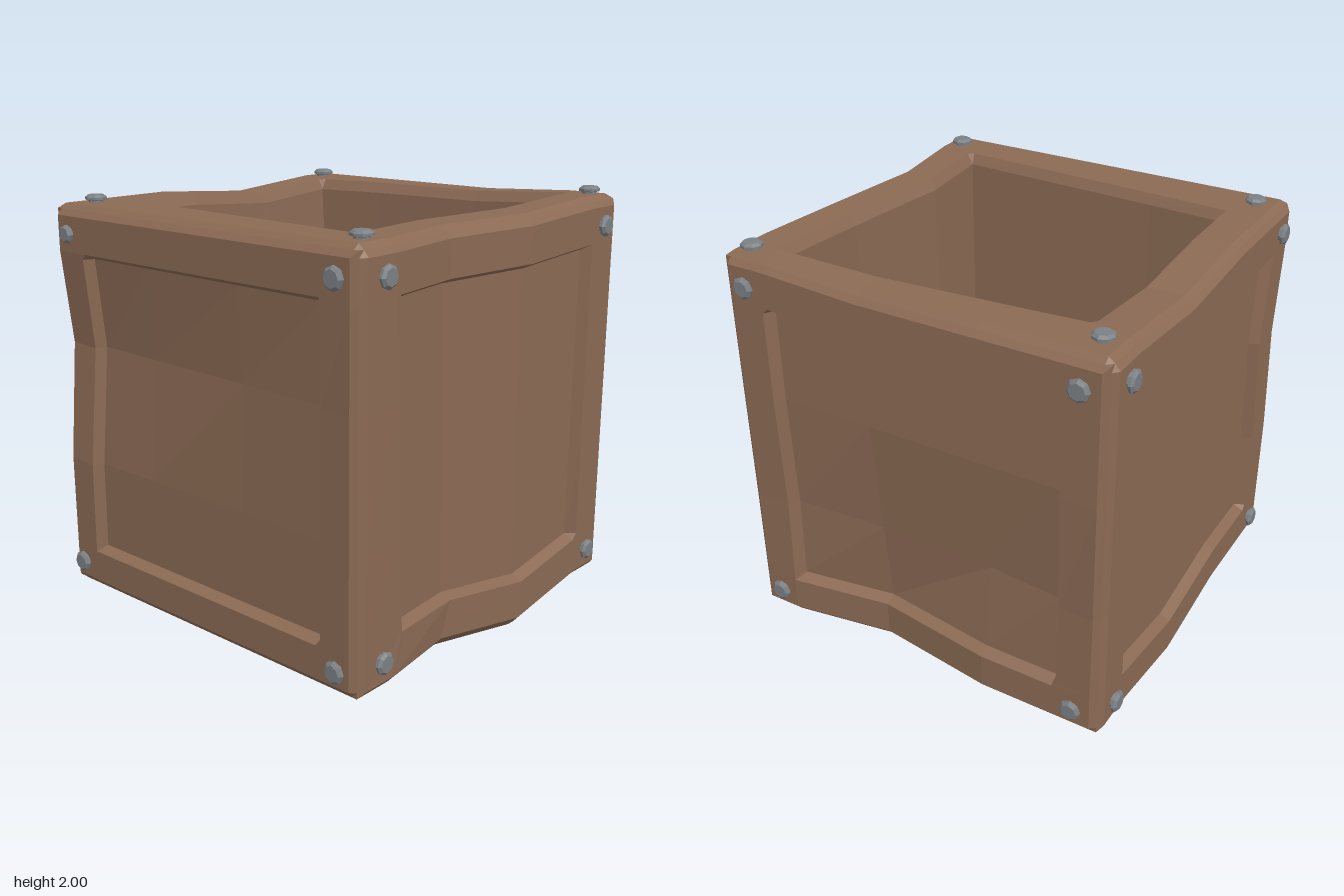
import * as THREE from 'three';

const V = (x, y, z) => new THREE.Vector3(x, y, z);
const clamp = (t) => Math.min(1, Math.max(0, t));
const ramp = (t) => clamp((t - 0.3) / 0.4);
const CENTER = 1.015, DEPTH = 0.935, THIRD = 0.28, INNER = 0.72;

// Grid lines over one side: chamfer, rail, bevel, panel thirds, and back out
const HALF = [0.912, 0.885, INNER, 0.695, THIRD];
const LINES = [...HALF.map((t) => -t), ...[...HALF].reverse()];
const RING_DEPTH = [0.912, DEPTH, DEPTH, 0.885, 0.885];

// 1 at line c, falling to 0 at the neighbouring grid lines
const tent = (t, c) => {
  const s = t * Math.sign(c), k = Math.abs(c);
  return clamp(s > k ? (INNER - s) / (INNER - k) : (s + k) / (2 * k));
};

// Hand-hewn warping of rails and panels
function warp(p) {
  const { x, y, z } = p;
  const top = ramp(y), low = ramp(-y), right = ramp(x), left = ramp(-x);
  const front = ramp(z), back = ramp(-z);
  const q = p.clone();
  q.x += -0.05 * tent(x, THIRD) - 0.06 * tent(x, -THIRD);
  q.z += 0.07 * tent(z, -THIRD) + 0.03 * tent(z, THIRD);
  q.y -= 0.075 * low * (left + right) * tent(z, -THIRD);
  q.y -= 0.04 * top * left * tent(z, -THIRD);
  q.y += 0.025 * top * right * back;
  q.x -= 0.055 * right * tent(z, THIRD);
  q.z += 0.08 * low * back * tent(x, THIRD);
  q.z -= 0.05 * front * tent(y, THIRD) * clamp(0.6 - x / 1.5);
  q.z += 0.05 * back * tent(y, -THIRD) * clamp(1.3 * (1 - Math.abs(x) / 0.93));
  q.y += CENTER;
  return q;
}

// n = outward, u = across, v = up; inner = shifts of the recess corners
// (bottom left, bottom right, top left, top right)
const SIDES = [
  { name: 'front', n: V(0, 0, 1), u: V(1, 0, 0), v: V(0, 1, 0),
    inner: [[-0.02, -0.015], [0.01, -0.015], [0, 0], [0.01, 0]],
    bolts: [[-0.83, -0.805], [0.82, -0.81], [-0.805, 0.805, 0.85], [0.82, 0.805]] },
  { name: 'right', n: V(1, 0, 0), u: V(0, 0, -1), v: V(0, 1, 0),
    inner: [[0.08, 0.01], [-0.01, 0.01], [0.01, 0], [-0.01, 0]],
    bolts: [[-0.79, -0.785], [0.79, -0.79], [-0.79, 0.805], [0.79, 0.8]] },
  { name: 'back', n: V(0, 0, -1), u: V(-1, 0, 0), v: V(0, 1, 0),
    inner: [[0, 0], [0, 0], [0, 0], [0, 0]],
    bolts: [[-0.8, -0.8], [0.8, -0.8], [-0.8, 0.8], [0.8, 0.8]] },
  { name: 'left', n: V(-1, 0, 0), u: V(0, 0, 1), v: V(0, 1, 0),
    inner: [[0, 0], [0, 0], [0, 0], [0, 0]],
    bolts: [[-0.8, -0.8], [0.79, -0.81], [-0.8, 0.81], [0.79, 0.81]] },
  { name: 'top', n: V(0, 1, 0), u: V(1, 0, 0), v: V(0, 0, -1),
    inner: [[0, 0.1], [0, 0.02], [0, -0.04], [0.02, 0.075]],
    bolts: [[-0.805, -0.775], [0.82, -0.79], [-0.81, 0.78], [0.825, 0.84]] },
  { name: 'bottom', n: V(0, -1, 0), u: V(1, 0, 0), v: V(0, 0, 1),
    inner: [[0, 0], [0, 0], [0, 0], [0, 0]], bolts: [] },
];

const place = (s, a, b, d) => V(0, 0, 0)
  .addScaledVector(s.u, a).addScaledVector(s.v, b).addScaledVector(s.n, d);

const ringOf = (i, j) => Math.min(i, 9 - i, j, 9 - j);

function gridPoint(s, i, j) {
  let a = LINES[i], b = LINES[j];
  const ring = ringOf(i, j);
  if (ring >= 2) {
    const h = clamp((a + INNER) / (2 * INNER)), k = clamp((b + INNER) / (2 * INNER));
    const w = [(1 - h) * (1 - k), h * (1 - k), (1 - h) * k, h * k];
    w.forEach((f, m) => { a += f * s.inner[m][0]; b += f * s.inner[m][1]; });
  }
  return warp(place(s, a, b, RING_DEPTH[ring]));
}

// Floor of the open box, twisted along its left edge
function floorPoint(s, i, j) {
  const p = gridPoint(s, i, j);
  if (i === 3) p.x += 0.09 * clamp((0.6 - p.z) / 0.8);
  p.y = 0.25;
  return p;
}

function quadMesh(name, quads, material) {
  const pos = [];
  for (const [a, b, c, d] of quads) {
    for (const p of [a, b, c, a, c, d]) pos.push(p.x, p.y, p.z);
  }
  const g = new THREE.BufferGeometry();
  g.setAttribute('position', new THREE.Float32BufferAttribute(pos, 3));
  g.computeVertexNormals();
  const mesh = new THREE.Mesh(g, material);
  mesh.name = name;
  return mesh;
}

export function createModel() {
  const wood = new THREE.MeshStandardMaterial({ color: 0x8b6a54 });
  wood.name = 'brown wood';
  const metal = new THREE.MeshStandardMaterial({ color: 0x7b8084 });
  metal.name = 'grey metal';

  const model = new THREE.Group();
  model.name = 'openCrate';

  // Eight-sided bolt with a narrow neck and domed head
  const profile = [[0.034, -0.03], [0.034, 0.008], [0.05, 0.012], [0.05, 0.023], [0.037, 0.034], [0, 0.034]];
  const boltGeo = new THREE.LatheGeometry(profile.map(([r, h]) => new THREE.Vector2(r, h)), 8).toNonIndexed();
  boltGeo.computeVertexNormals();

  for (const s of SIDES) {
    const frame = [], panel = [];
    const open = s.name === 'top';
    for (let i = 0; i < 9; i++) {
      for (let j = 0; j < 9; j++) {
        const inside = i > 2 && i < 6 && j > 2 && j < 6;
        const at = inside && open ? floorPoint : gridPoint;
        (inside ? panel : frame).push(
          [at(s, i, j), at(s, i + 1, j), at(s, i + 1, j + 1), at(s, i, j + 1)]);
      }
    }
    model.add(quadMesh(s.name + 'Frame', frame, wood));
    model.add(quadMesh(open ? 'insideFloor' : s.name + 'Panel', panel, wood));

    // Inner walls from the rim down to the floor
    if (open) {
      const loop = [];
      for (let k = 0; k < 3; k++) loop[k] = [3 + k, 3];
      for (let k = 0; k < 3; k++) loop[3 + k] = [6, 3 + k];
      for (let k = 0; k < 3; k++) loop[6 + k] = [6 - k, 6];
      for (let k = 0; k < 3; k++) loop[9 + k] = [3, 6 - k];
      const walls = loop.map((a, k) => {
        const b = loop[(k + 1) % loop.length];
        return [gridPoint(s, ...a), gridPoint(s, ...b), floorPoint(s, ...b), floorPoint(s, ...a)];
      });
      model.add(quadMesh('insideWalls', walls, wood));
    }

    // Corner bolts
    for (const [a, b, size = 1] of s.bolts) {
      const bolt = new THREE.Mesh(boltGeo, metal);
      bolt.name = s.name + 'Bolt';
      bolt.position.copy(warp(place(s, a, b, DEPTH)));
      bolt.quaternion.setFromUnitVectors(V(0, 1, 0), s.n);
      bolt.scale.set(size, 1, size);
      model.add(bolt);
    }
  }
  return model;
}
